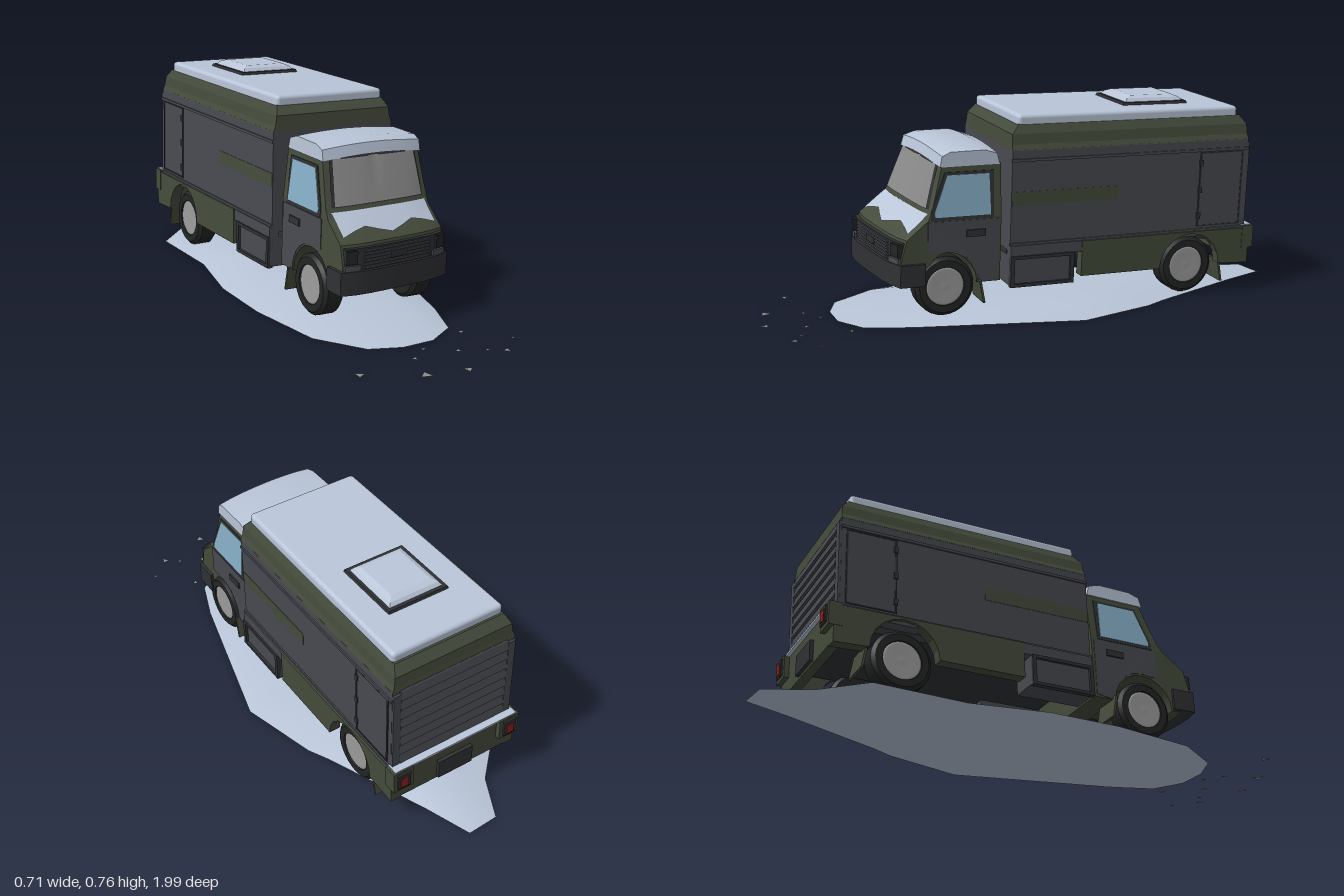
import * as THREE from 'three';
import { toCreasedNormals } from 'three/addons/utils/BufferGeometryUtils.js';
import { RoundedBoxGeometry } from 'three/addons/geometries/RoundedBoxGeometry.js';

const mat = (color, extra = {}) => Object.assign(new THREE.MeshStandardMaterial({ color }), extra);
const thin = { side: THREE.DoubleSide };
const LIGHT = mat(0xb9c5d8, thin), WALL = mat(0x484a50), OLIVE = mat(0x444b3b), DARK = mat(0x303134), STONE = mat(0x8c8c8c, thin);
const TYRE = mat(0x232424, thin), RIM = mat(0x9c9c9c, thin), GLASS = mat(0x8a8a8a, thin), SIDEGLASS = mat(0x86aec6), RED = mat(0x8a2020);

const clamp = THREE.MathUtils.clamp;
// Half width of the cab at height y
const cabHalf = y => 0.218 - 0.022 * clamp((y - 0.36) / 0.22, 0, 1);
// Skews and rounds the nose of the cab
function nose(v) {
  const w = clamp((v.z - 0.35) / 0.15, 0, 1);
  v.z -= w * (0.11 * v.x + 0.02 * (v.x / 0.22) ** 4);
}
function warp(geo, rule) {
  const p = geo.attributes.position, v = new THREE.Vector3();
  for (let i = 0; i < p.count; i++) {
    rule(v.fromBufferAttribute(p, i));
    p.setXYZ(i, v.x, v.y, v.z);
  }
  geo.computeVertexNormals();
  return geo;
}
function add(parent, name, geo, material) {
  const m = new THREE.Mesh(geo, material);
  m.name = name;
  parent.add(m);
  return m;
}
// Box from its limits
function box(parent, name, material, [x0, x1], [y0, y1], [z0, z1], seg = 1) {
  const g = new THREE.BoxGeometry(x1 - x0, y1 - y0, z1 - z0, seg, 1, 1);
  g.translate((x0 + x1) / 2, (y0 + y1) / 2, (z0 + z1) / 2);
  return add(parent, name, g, material);
}
// Solid through rings of points, bottom to top
function loft(rings) {
  const pos = [], n = rings[0].length, tri = (...p) => p.forEach(q => pos.push(...q));
  for (let k = 0; k + 1 < rings.length; k++)
    for (let i = 0; i < n; i++) {
      const j = (i + 1) % n, a = rings[k], b = rings[k + 1];
      tri(a[i], a[j], b[j], a[i], b[j], b[i]);
    }
  const mid = r => [0, 1, 2].map(c => r.reduce((s, p) => s + p[c], 0) / n);
  const lo = rings[0], hi = rings[rings.length - 1], cl = mid(lo), ch = mid(hi);
  for (let i = 0; i < n; i++) {
    const j = (i + 1) % n;
    tri(cl, lo[j], lo[i], ch, hi[i], hi[j]);
  }
  const g = new THREE.BufferGeometry();
  g.setAttribute('position', new THREE.Float32BufferAttribute(pos, 3));
  g.computeVertexNormals();
  return g;
}
const rect = ([y, h, z0, z1]) => [[-h, y, z1], [h, y, z1], [h, y, z0], [-h, y, z0]];
// Outline in z,y, thickened along x from x0 to x1
function sideExtrude(shape, x0, x1, steps = 1) {
  const g = new THREE.ExtrudeGeometry(shape, { depth: x1 - x0, steps, bevelEnabled: false });
  return g.rotateY(Math.PI / 2).translate(x0, 0, 0);
}
const outline = pts => new THREE.Shape(pts.map(([z, y]) => new THREE.Vector2(-z, y)));
// Wheel arch, from its front foot over to its rear foot
const arch = (zc, yc, r, n = 10) => Array.from({ length: n + 1 }, (_, i) => {
  const a = Math.PI * i / n;
  return [zc + r * Math.cos(a), yc + r * Math.sin(a)];
});
// Makes the same part on both flanks
function flanks(parent, build) {
  for (const s of [1, -1]) {
    const g = new THREE.Group();
    g.name = s > 0 ? 'leftSide' : 'rightSide';
    g.scale.x = s;
    parent.add(g);
    build(g, s);
  }
}

function buildBody(t) {
  add(t, 'cargoWalls', loft([[0.25, 0.244, -0.802, 0.145], [0.615, 0.244, -0.802, 0.145]].map(rect)), WALL);
  add(t, 'cargoShoulder', loft([[0.612, 0.245, -0.803, 0.146], [0.632, 0.236, -0.8, 0.145],
    [0.668, 0.231, -0.797, 0.143], [0.7, 0.216, -0.77, 0.115]].map(rect)), OLIVE);
  const roof = new RoundedBoxGeometry(0.434, 0.045, 0.88, 3, 0.014);
  add(t, 'cargoRoof', roof.translate(0, 0.711, -0.323), LIGHT);
  add(t, 'hatchFrame', loft([[0.73, 0.12, -0.602, -0.336], [0.743, 0.116, -0.598, -0.34]].map(rect)), DARK);
  add(t, 'hatchLid', loft([[0.743, 0.105, -0.585, -0.352], [0.755, 0.096, -0.575, -0.362],
    [0.763, 0.078, -0.555, -0.382]].map(rect)), LIGHT);
  box(t, 'chassis', DARK, [-0.2, 0.2], [0.225, 0.26], [-0.8, 0.14]);

  flanks(t, g => {
    // Skirt with rear wheel arch
    const skirt = outline([[-0.13, 0.272], [-0.13, 0.14], ...arch(-0.575, 0.14, 0.125), [-0.825, 0.135], [-0.825, 0.272]]);
    add(g, 'skirt', sideExtrude(skirt, 0.215, 0.257), OLIVE);
    box(g, 'sill', WALL, [0.215, 0.254], [0.232, 0.272], [-0.13, 0.145]);
    for (const y of [0.275, 0.578]) box(g, 'trimStrip', WALL, [0.24, 0.249], [y - 0.005, y + 0.005], [-0.804, 0.147]);
    box(g, 'paintPatch', OLIVE, [0.24, 0.2455], [0.415, 0.465], [-0.27, 0.142]);
    // Tool locker under the floor
    box(g, 'toolLocker', WALL, [0.14, 0.25], [0.125, 0.232], [-0.1, 0.145]);
    for (const z of [-0.1, 0.13]) box(g, 'lockerPost', DARK, [0.24, 0.26], [0.12, 0.232], [z, z + 0.015]);
    for (const y of [0.12, 0.222]) box(g, 'lockerRail', DARK, [0.24, 0.26], [y, y + 0.012], [-0.1, 0.145]);
    // Side door with frame and hinges
    box(g, 'sideDoor', WALL, [0.235, 0.246], [0.292, 0.566], [-0.778, -0.605]);
    for (const z of [-0.784, -0.608]) box(g, 'doorFrame', DARK, [0.235, 0.248], [0.288, 0.57], [z, z + 0.006]);
    for (const y of [0.288, 0.566]) box(g, 'doorFrame', DARK, [0.235, 0.248], [y, y + 0.005], [-0.784, -0.602]);
    for (const y of [0.33, 0.43, 0.53]) box(g, 'hinge', DARK, [0.235, 0.251], [y - 0.012, y + 0.012], [-0.613, -0.599]);
    // Rear corner with lamp
    box(g, 'rearCorner', OLIVE, [0.18, 0.259], [0.195, 0.28], [-0.843, -0.795]);
    box(g, 'lampHousing', DARK, [0.195, 0.245], [0.208, 0.27], [-0.85, -0.83]);
    box(g, 'tailLamp', RED, [0.205, 0.235], [0.215, 0.256], [-0.853, -0.84]);
    box(g, 'rearPost', WALL, [0.214, 0.243], [0.28, 0.6], [-0.81, -0.8]);
  });
  box(t, 'rearPanel', OLIVE, [-0.22, 0.22], [0.14, 0.275], [-0.825, -0.79]);
  box(t, 'rearLedge', LIGHT, [-0.25, 0.25], [0.275, 0.283], [-0.838, -0.795]);
  box(t, 'rearStep', DARK, [-0.07, 0.07], [0.15, 0.225], [-0.838, -0.82]);
  // Roller shutter
  for (let i = 0; i < 8; i++) {
    const y = 0.285 + i * 0.041;
    add(t, 'shutterSlat', loft([[y, 0.214, -0.812, -0.79], [y + 0.034, 0.214, -0.806, -0.79], [y + 0.039, 0.214, -0.803, -0.79]].map(rect)), WALL);
  }
}

function buildCab(t) {
  const shell = (name, pts, material, widen = 0) => {
    const g = sideExtrude(outline(pts), -1, 1, 8);
    warp(g, v => {
      const u = v.x;
      v.x *= cabHalf(v.y) + widen;
      if (v.y > 0.55) v.y -= 0.012 * u * u;
      nose(v);
    });
    add(t, name, toCreasedNormals(g, 0.45), material);
  };
  shell('cabLower', [[0.17, 0.14], [0.17, 0.375], [0.475, 0.375], [0.56, 0.31], [0.578, 0.235], [0.565, 0.15],
    [0.5, 0.14], ...arch(0.375, 0.14, 0.118)], OLIVE);
  shell('cabUpper', [[0.17, 0.375], [0.17, 0.575], [0.398, 0.575], [0.455, 0.405], [0.475, 0.375]], OLIVE);
  shell('cabRoof', [[0.175, 0.572], [0.185, 0.61], [0.23, 0.624], [0.36, 0.622], [0.4, 0.608], [0.41, 0.57]], LIGHT, 0.004);
  // Bonnet panel with a dented lower edge
  const bonnet = warp(new THREE.PlaneGeometry(0.4, 1, 8, 3), v => {
    const k = 0.5 - v.y, dent = 0.012 * Math.cos(v.x * 30);
    v.set(v.x, 0.396 - k * (0.055 + dent), 0.464 + k * (0.066 + dent * 1.2));
    nose(v);
  });
  add(t, 'bonnet', bonnet, LIGHT);

  // Windscreen with a funnel-shaped dent, and its surround
  const onScreen = (v, lift) => {
    const k = v.y + 0.5;
    v.set(v.x * (0.372 - 0.034 * k), 0.412 + 0.152 * k, 0.4545 - 0.051 * k + lift);
    nose(v);
  };
  const surround = new THREE.PlaneGeometry(1.04, 1.04, 10, 4);
  add(t, 'windscreenSurround', warp(surround, v => onScreen(v, 0.001)), DARK);
  const screen = new THREE.PlaneGeometry(1, 1, 24, 8);
  warp(screen, v => {
    const dent = 0.006 * Math.max(0, 1 - Math.abs(v.x) / 0.1) * clamp(v.y + 0.35, 0, 1);
    onScreen(v, 0.007 - dent);
  });
  add(t, 'windscreen', screen, GLASS);

  // Nose details
  const front = (name, material, xs, ys, zs) => warp(box(t, name, material, xs, ys, zs, 8).geometry, nose);
  front('grillePanel', DARK, [-0.21, 0.21], [0.225, 0.3], [0.53, 0.578]);
  for (let i = 0; i < 6; i++) front('grilleBar', WALL, [-0.14, 0.14], [0.23 + i * 0.0115, 0.236 + i * 0.0115], [0.56, 0.584]);
  front('grillePlate', DARK, [-0.035, 0.035], [0.253, 0.277], [0.57, 0.587]);
  for (const s of [-1, 1]) {
    front('headlamp', TYRE, [s * 0.19 - 0.02, s * 0.19 + 0.02], [0.25, 0.295], [0.55, 0.587]);
    front('indicator', WALL, [s * 0.185 - 0.028, s * 0.185 + 0.028], [0.226, 0.245], [0.55, 0.587]);
  }
  front('bumper', DARK, [-0.23, 0.23], [0.145, 0.225], [0.5, 0.59]);

  flanks(t, g => {
    const plate = (name, pts, material, out) =>
      add(g, name, warp(sideExtrude(outline(pts), -0.01, out), v => { v.x += cabHalf(v.y); }), material);
    plate('doorPanel', [[0.18, 0.15], [0.18, 0.37], [0.44, 0.37], [0.44, 0.265], ...arch(0.375, 0.14, 0.125).slice(4)], WALL, 0.002);
    plate('windowFrame', [[0.198, 0.373], [0.198, 0.54], [0.378, 0.54], [0.43, 0.4], [0.43, 0.373]], DARK, 0.002);
    plate('sideWindow', [[0.21, 0.385], [0.215, 0.53], [0.37, 0.53], [0.418, 0.4], [0.415, 0.385]], SIDEGLASS, 0.004);
    plate('doorHandle', [[0.23, 0.31], [0.23, 0.335], [0.3, 0.335], [0.3, 0.31]], DARK, 0.007);
  });
}

function buildWheels(t) {
  const r = 0.108, w = 0.04;
  const turn = pts => new THREE.LatheGeometry(pts.map(p => new THREE.Vector2(...p)), 28).rotateZ(-Math.PI / 2);
  const tyre = turn([[0.06, -w], [0.095, -w], [r, -w + 0.012], [r, w - 0.012], [0.095, w], [0.07, w], [0.068, w - 0.012]]);
  const rim = turn([[0.07, 0.025], [0.07, w - 0.006], [0.062, w - 0.002], [0.03, w - 0.006], [0, w - 0.004]]);
  flanks(t, (g, s) => {
    for (const [x, z] of [[0.182, 0.375], [0.194, -0.575]]) {
      const wheel = new THREE.Group();
      wheel.name = z > 0 ? 'frontWheel' : 'rearWheel';
      wheel.position.set(x, (z > 0 ? 0.129 : 0.133) + s * 0.006, z);
      add(wheel, 'tyre', toCreasedNormals(tyre, 0.6), TYRE);
      add(wheel, 'rim', rim, RIM);
      g.add(wheel);
      const flap = box(g, 'mudFlap', OLIVE, [-0.055, 0.055], [-0.085, 0], [-0.004, 0.004]);
      flap.position.set(x, 0.15, z > 0 ? 0.25 : -0.705);
      flap.rotation.x = 0.2;
    }
  });
}

export function createModel() {
  const model = new THREE.Group();
  // Mound of ground under the truck
  const edge = [[-0.17, -0.83], [-0.09, -0.99], [0.03, -1], [0.09, -0.83], [0.24, -0.46], [0.28, -0.38], [0.355, -0.09], [0.2, 0.5],
    [0.14, 0.66], [0.03, 0.725], [-0.09, 0.725], [-0.2, 0.68], [-0.31, 0.51], [-0.355, 0.2], [-0.355, -0.07], [-0.3, -0.35], [-0.31, -0.69]].reverse();
  const rings = [[1, 0], [0.72, 0.026], [0.4, 0.037], [0.15, 0.04]].map(([s, y]) =>
    edge.map(([x, z]) => [-0.01 + (x + 0.01) * s, y, -0.12 + (z + 0.12) * s]));
  add(model, 'ground', toCreasedNormals(loft(rings), 0.5), LIGHT);

  // Flat stone chips ahead of the truck
  [[-0.33, 0.84, 0.02], [-0.15, 0.945, 0.025], [-0.11, 0.82, 0.014], [-0.04, 0.77, 0.012], [0.05, 0.84, 0.015], [-0.01, 0.975, 0.02],
    [0.14, 0.88, 0.012], [0.19, 0.915, 0.017], [0.155, 0.71, 0.014], [0.275, 0.84, 0.01]].forEach(([x, z, r], i) => {
    const chip = add(model, 'stoneChip', new THREE.CircleGeometry(r, 3).rotateX(-Math.PI / 2), STONE);
    chip.position.set(x, 0.001, z);
    chip.rotation.y = i * 1.3;
  });

  // Truck, leaning a little on the mound
  const truck = new THREE.Group();
  truck.name = 'truck';
  truck.position.set(-0.029, 0, 0.007);
  truck.rotation.set(-0.02, 0, -0.037);
  buildBody(truck);
  buildCab(truck);
  buildWheels(truck);
  model.add(truck);
  return model;
}
